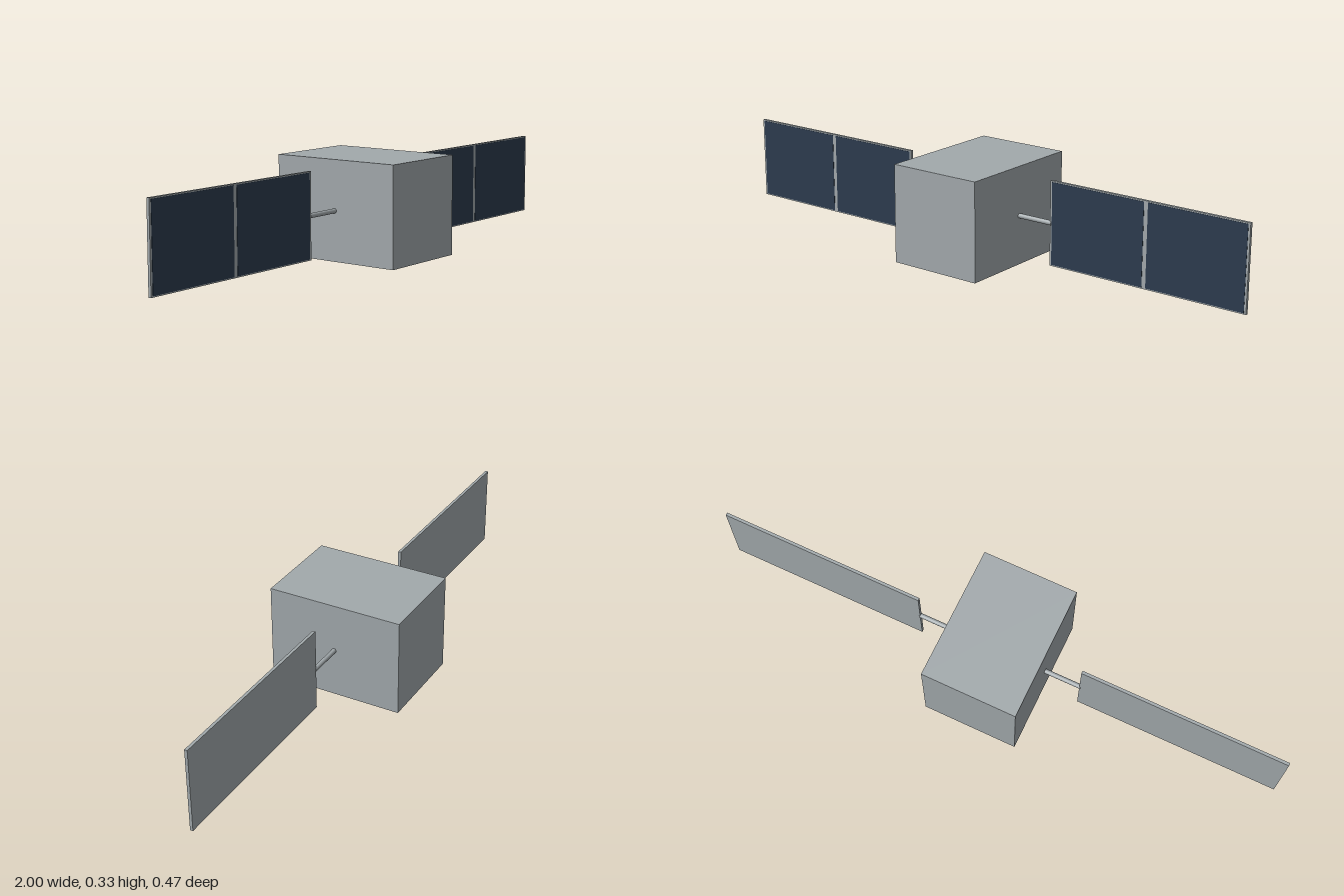
import * as THREE from 'three';

const BODY = { w: 0.33, h: 0.333, d: 0.466 };
const PANEL = { inner: 0.29, outer: 1, h: 0.284, t: 0.01 };
const MID_Y = BODY.h / 2;

export function createModel() {
  const metal = new THREE.MeshStandardMaterial({ color: 0xa2a9ac });
  metal.name = 'grey metal';
  const solar = new THREE.MeshStandardMaterial({ color: 0x2c3b4e });
  solar.name = 'dark blue solar cell';

  const model = new THREE.Group();
  model.name = 'satellite';

  const add = (parent, name, geometry, material, x, y, z) => {
    const mesh = new THREE.Mesh(geometry, material);
    mesh.name = name;
    mesh.position.set(x, y, z);
    parent.add(mesh);
    return mesh;
  };

  // Central box
  add(model, 'body', new THREE.BoxGeometry(BODY.w, BODY.h, BODY.d), metal, 0, MID_Y, 0);

  const panelW = PANEL.outer - PANEL.inner;
  const panelX = (PANEL.outer + PANEL.inner) / 2;
  const border = 0.007, gap = 0.014, plate = 0.001;
  const cellW = (panelW - 2 * border - gap) / 2;
  const cellH = PANEL.h - 0.008;

  for (const side of [1, -1]) {
    const wing = new THREE.Group();
    wing.name = side > 0 ? 'leftWing' : 'rightWing';
    model.add(wing);

    // Strut from the body to the panel
    const strutLength = PANEL.inner - BODY.w / 2 + 0.004;
    const strut = new THREE.CylinderGeometry(0.008, 0.008, strutLength, 16).rotateZ(Math.PI / 2);
    add(wing, 'strut', strut, metal, side * (BODY.w / 2 + strutLength / 2), MID_Y, 0);

    // Panel backing, with two cells on its front
    add(wing, 'panel', new THREE.BoxGeometry(panelW, PANEL.h, PANEL.t), metal, side * panelX, MID_Y, 0);
    for (const half of [-1, 1]) {
      add(wing, 'solarCell', new THREE.BoxGeometry(cellW, cellH, plate), solar,
        side * panelX + half * (gap + cellW) / 2, MID_Y, PANEL.t / 2 + plate / 2);
    }
  }
  return model;
}
